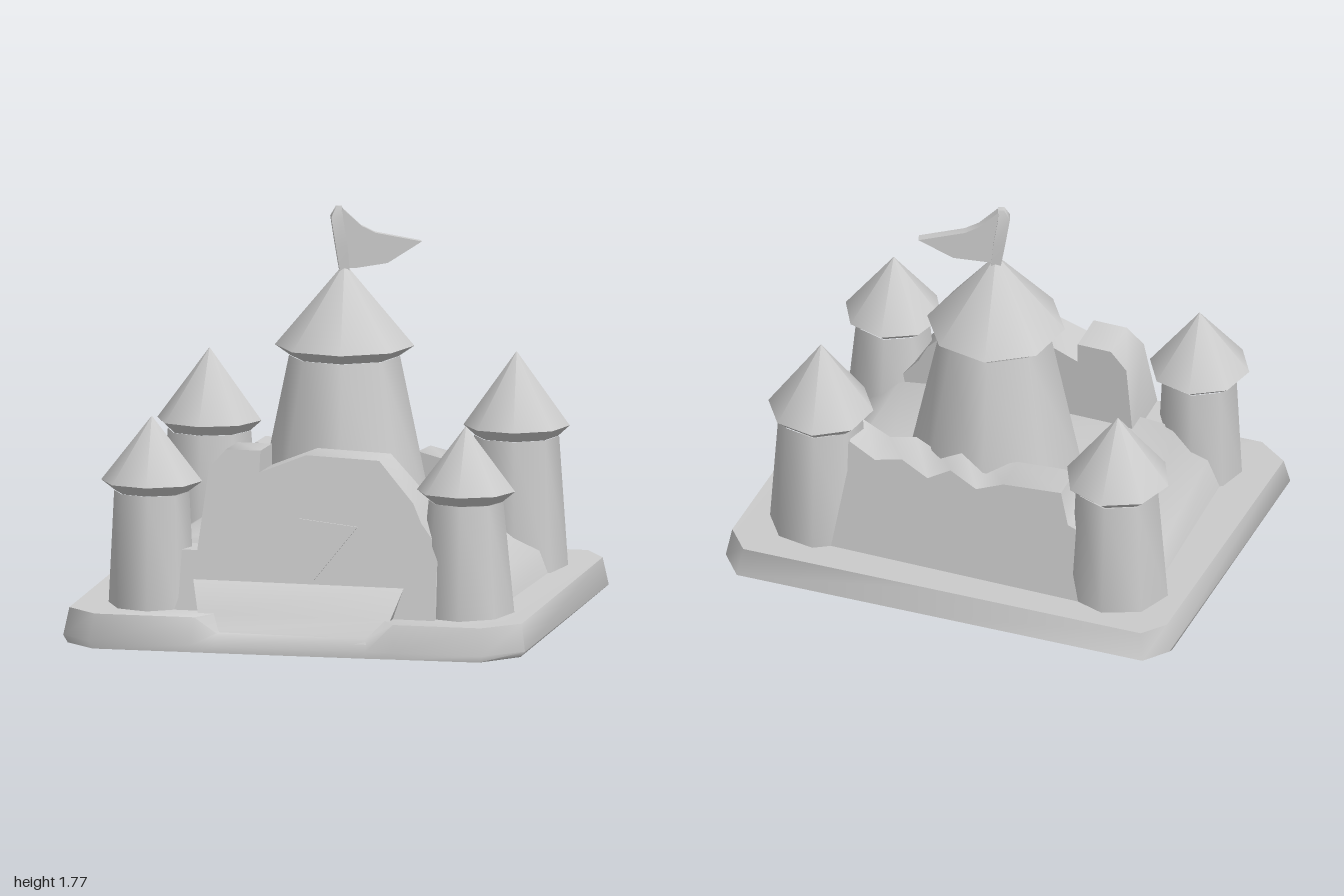
import * as THREE from 'three';
import { toCreasedNormals } from 'three/addons/utils/BufferGeometryUtils.js';

const stone = new THREE.MeshStandardMaterial({ color: 0xcccccc });
stone.name = 'pale stone';

function part(name, geometry, parent, crease = 1.1) {
  const mesh = new THREE.Mesh(toCreasedNormals(geometry, crease), stone);
  mesh.name = name;
  parent.add(mesh);
}

// Closed solid through rings of [x, y, z], listed upwards, each counter-clockwise from above
function loft(rings) {
  const pos = [];
  const n = rings[0].length;
  const tri = (...points) => points.forEach((p) => pos.push(...p));
  const middle = (ring) => [0, 1, 2].map((k) => ring.reduce((s, p) => s + p[k], 0) / n);
  const bottom = rings[0], top = rings[rings.length - 1];
  for (let i = 0; i < n; i++) {
    const j = (i + 1) % n;
    for (let r = 0; r < rings.length - 1; r++) {
      const a = rings[r], b = rings[r + 1];
      tri(a[i], a[j], b[j]);
      tri(a[i], b[j], b[i]);
    }
    tri(middle(bottom), bottom[j], bottom[i]);
    tri(middle(top), top[i], top[j]);
  }
  const g = new THREE.BufferGeometry();
  g.setAttribute('position', new THREE.Float32BufferAttribute(pos, 3));
  return g;
}

// Four-cornered loft ring with its own half-width at front and back
const ring = (y, xFront, front, xBack, back) =>
  [[-xFront, y, front], [xFront, y, front], [xBack, y, back], [-xBack, y, back]];

// Wall from a front outline; its two faces lean with height: z = at0 + lean * y
function wall(outline, front, back) {
  const shape = new THREE.Shape(outline.map(([x, y]) => new THREE.Vector2(x, y)));
  const g = new THREE.ExtrudeGeometry(shape, { depth: 1, bevelEnabled: false });
  const p = g.attributes.position;
  for (let i = 0; i < p.count; i++) {
    const [at0, lean] = p.getZ(i) > 0.5 ? front : back;
    p.setZ(i, at0 + lean * p.getY(i));
  }
  return g;
}

// Eight-sided tower with an overhanging pointed roof
function tower(name, parent, { x, z, y0, r0, r1, eave, rEave, peak, turn }) {
  const group = new THREE.Group();
  group.name = name;
  group.position.set(x, 0, z);
  group.rotation.y = turn;
  const lathe = (points) => new THREE.LatheGeometry(points.map(([r, y]) => new THREE.Vector2(r, y)), 8);
  const neck = eave - 0.045;
  part('towerBody', lathe([[r0, y0], [r1, neck]]), group);
  part('towerRoof', lathe([[r1 - 0.005, neck], [rEave, eave], [0.001, peak]]), group);
  parent.add(group);
}

export function createModel() {
  const castle = new THREE.Group();
  castle.name = 'castle';

  // Ground slab, rising towards the back, underside folded, top edge dipping before the front wall
  const outline = [[-0.86, 0.835], [-0.42, 0.822], [-0.32, 0.82], [0.34, 0.805], [0.46, 0.8], [0.85, 0.79],
    [1, 0.66], [1, -0.71], [0.9, -0.84], [0.02, -0.82], [-0.92, -0.8], [-1, -0.69], [-1, 0.73]];
  const under = outline.map(([x, z]) => {
    const lift = 0.035 * Math.max(0, x + 0.13 + 0.2 * z) * (0.9 - z) / 1.2;
    return [x * 0.98, (0.835 - z) * 0.032 + lift, z > 0 ? z : z * 0.88];
  });
  const rim = outline.map(([x, z]) => [x, 0.03 + (0.835 - z) * 0.047, z]);
  const top = outline.map(([x, z]) => {
    const dip = Math.abs(x) < 0.4 && z > 0 ? 0.065 : 0;
    return [x * 0.98, 0.145 + (0.835 - z) * 0.05 - dip, z * 0.965];
  });
  part('groundSlab', loft([under, rim, top]), castle);

  // Courtyard block with sloping sides
  part('courtyard', loft([ring(0.12, 0.81, 0.5, 0.87, -0.56), ring(0.3, 0.75, 0.48, 0.81, -0.54),
    ring(0.42, 0.6, 0.42, 0.62, -0.48), ring(0.45, 0.4, 0.4, 0.4, -0.46)]), castle);

  // Front wall with one square merlon, its foot flaring out to the slab edge
  part('frontWall', wall([[-0.62, 0.06], [0.6, 0.06], [0.6, 0.45], [0.52, 0.55], [0.48, 0.63], [0.32, 0.8],
    [0, 0.81], [-0.2, 0.73], [-0.2, 0.82], [-0.35, 0.82], [-0.42, 0.74], [-0.45, 0.4], [-0.62, 0.4]],
  [0.69, -0.235], [0.31, 0]), castle);
  part('frontWallFoot', loft([ring(0.06, 0.34, 0.79, 0.34, 0.58), ring(0.09, 0.36, 0.77, 0.36, 0.58),
    ring(0.15, 0.42, 0.7, 0.42, 0.58), ring(0.28, 0.46, 0.624, 0.46, 0.58)]), castle);

  // Back wall with a jagged top
  const jagged = [[0.5, 0.72], [0.38, 0.66], [0.26, 0.69], [0.14, 0.63], [0.04, 0.69],
    [-0.08, 0.63], [-0.2, 0.68], [-0.46, 0.7], [-0.5, 0.56]];
  part('backWall', wall([[-0.62, 0.12], [0.6, 0.12], [0.6, 0.58], ...jagged, [-0.62, 0.52]],
    [-0.39, 0], [-0.68, 0.17]), castle);

  // Triangular plate on the front wall
  part('frontTriangle', wall([[0.07, 0.3], [0.245, 0.525], [-0.015, 0.55]],
    [0.702, -0.235], [0.694, -0.235]), castle, 0.3);

  // Towers
  tower('frontLeftTower', castle, { x: 0.685, z: 0.445, y0: 0.13, r0: 0.21, r1: 0.16, eave: 0.68, rEave: 0.21, peak: 0.955, turn: 0.1 });
  tower('frontRightTower', castle, { x: -0.665, z: 0.535, y0: 0.12, r0: 0.185, r1: 0.16, eave: 0.68, rEave: 0.215, peak: 0.955, turn: 0.15 });
  tower('backLeftTower', castle, { x: 0.66, z: -0.475, y0: 0.18, r0: 0.22, r1: 0.18, eave: 0.81, rEave: 0.225, peak: 1.125, turn: 0.2 });
  tower('backRightTower', castle, { x: -0.68, z: -0.465, y0: 0.18, r0: 0.225, r1: 0.18, eave: 0.78, rEave: 0.225, peak: 1.085, turn: 0.05 });
  tower('mainTower', castle, { x: 0, z: -0.13, y0: 0.43, r0: 0.38, r1: 0.235, eave: 1.18, rEave: 0.295, peak: 1.53, turn: 0.2 });

  // Flagpole, thicker towards its top, and a pointed pennant
  const flag = new THREE.Group();
  flag.name = 'flag';
  flag.position.set(0, 0, -0.135);
  flag.rotation.y = 0.35;
  const square = (x, y, r) => ring(y, r, r, r, -r).map(([cx, cy, cz]) => [cx + x, cy, cz]);
  part('flagpole', loft([square(0, 1.48, 0.02), square(-0.015, 1.6, 0.025),
    square(-0.035, 1.73, 0.025), square(-0.025, 1.775, 0.012)]), flag);
  part('pennant', wall([[0, 1.51], [0.04, 1.51], [0.18, 1.53], [0.325, 1.62], [0.13, 1.66], [0.07, 1.69], [-0.01, 1.765], [-0.04, 1.72]],
    [0.018, 0], [-0.018, 0]), flag);
  castle.add(flag);

  return castle;
}
